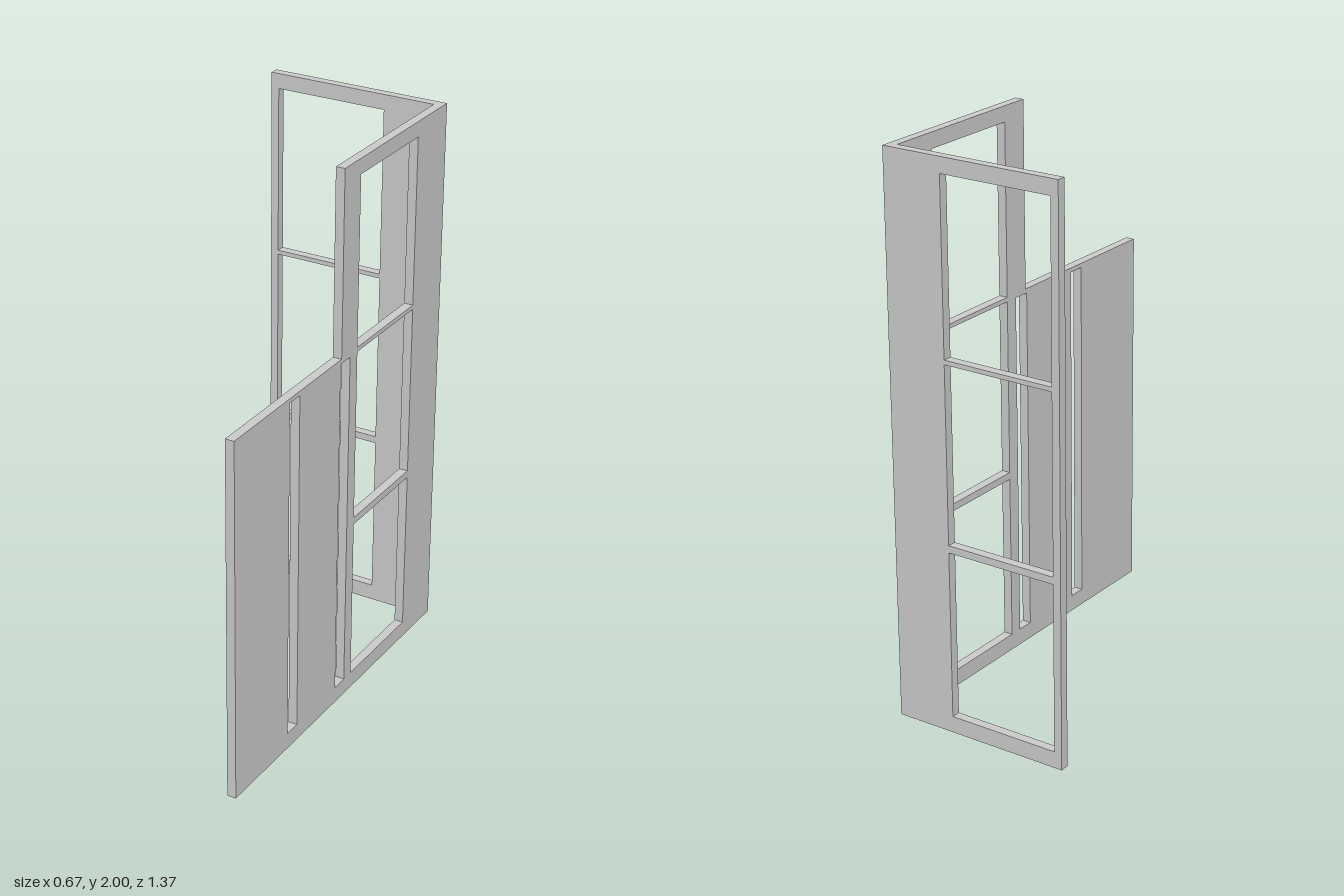
import * as THREE from 'three';

const T = 0.033; // panel thickness

// Flat panel from an outline and rectangular openings [u0, u1, v0, v1]
function panel(name, outline, openings) {
  const shape = new THREE.Shape(outline.map(([u, v]) => new THREE.Vector2(u, v)));
  for (const [u0, u1, v0, v1] of openings) {
    shape.holes.push(new THREE.Path([
      new THREE.Vector2(u0, v0), new THREE.Vector2(u0, v1),
      new THREE.Vector2(u1, v1), new THREE.Vector2(u1, v0),
    ]));
  }
  const geometry = new THREE.ExtrudeGeometry(shape, { depth: T, bevelEnabled: false });
  const mesh = new THREE.Mesh(geometry, new THREE.MeshStandardMaterial({ color: 0xcccccc }));
  mesh.name = name;
  return mesh;
}

export function createModel() {
  const group = new THREE.Group();
  group.name = 'cornerScreen';

  // Three stacked window rows shared by both walls
  const rows = [[0.06, 0.664], [0.69, 1.319], [1.335, 1.945]];

  // Back wall with a window column
  const backWall = panel('backWall',
    [[-0.333, 0], [0.3, 0], [0.3, 2], [-0.333, 2]],
    rows.map(([v0, v1]) => [-0.304, 0.111, v0, v1]));
  backWall.position.z = -0.686;

  // Side wall, drawn in (z, y): tall at the back, stepped down at the front, with two slots
  const sideWall = panel('sideWall',
    [[-0.686, 0], [0.686, 0], [0.686, 1.335], [0.015, 1.335], [0.015, 2], [-0.686, 2]],
    [
      ...rows.map(([v0, v1]) => [-0.482, -0.091, v0, v1]),
      [-0.042, 0.021, 0.06, 1.319],
      [0.286, 0.349, 0.06, 1.319],
    ]);
  sideWall.geometry.rotateY(-Math.PI / 2);
  sideWall.position.x = 0.333;

  group.add(backWall, sideWall);
  return group;
}
